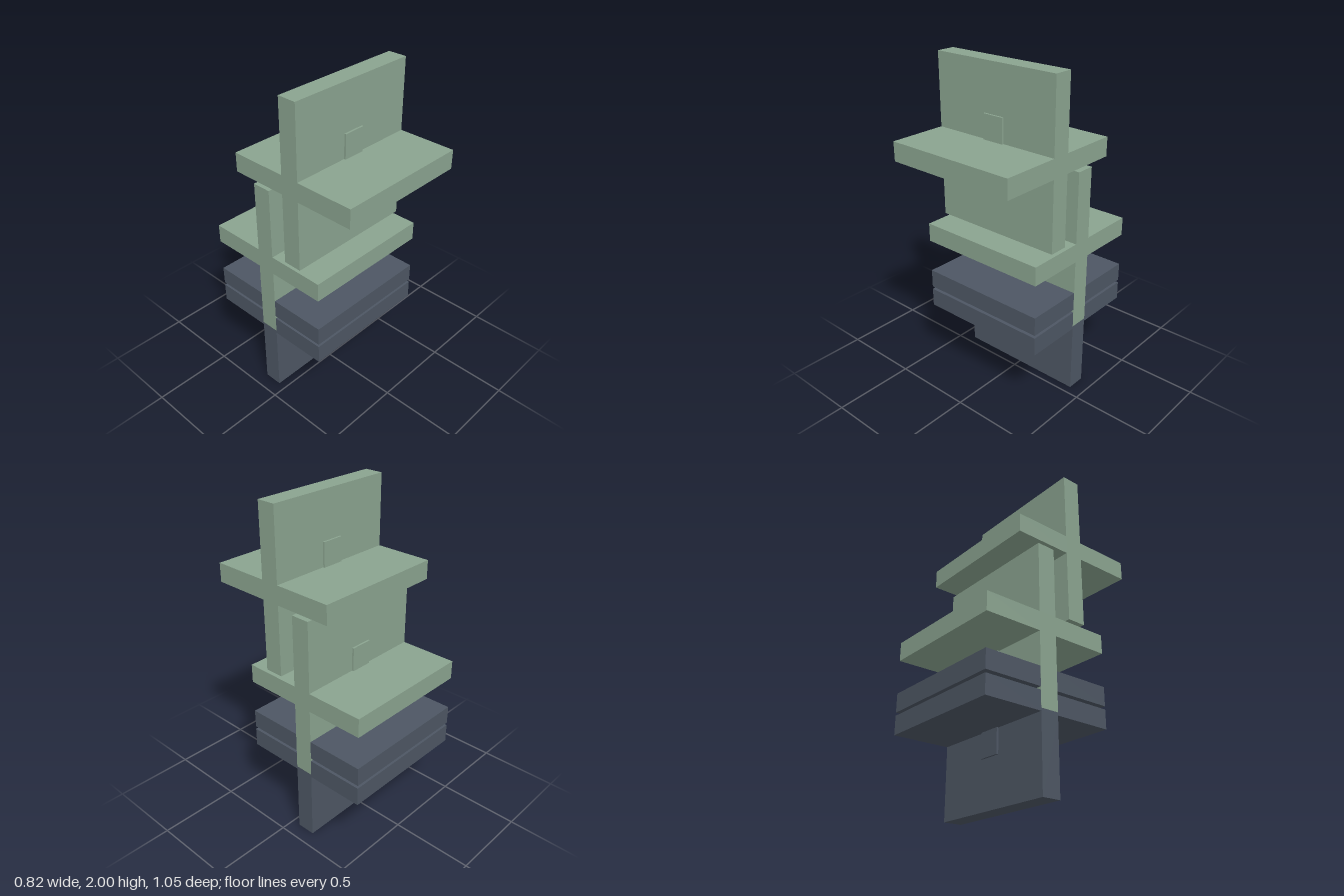
import * as THREE from 'three';

const WIDTH = 0.825, HEIGHT = 0.98, DEPTH = 0.828, THICK = 0.115;

// Plus-shaped outline (u = depth, v = height), extruded across the width
function crossGeometry(inset) {
  const t = THICK / 2 - inset, d = DEPTH / 2, h = HEIGHT / 2, w = WIDTH - 2 * inset;
  const shape = new THREE.Shape([
    [-t, -h], [t, -h], [t, -t], [d, -t], [d, t], [t, t],
    [t, h], [-t, h], [-t, t], [-d, t], [-d, -t], [-t, -t],
  ].map(([u, v]) => new THREE.Vector2(u, v)));
  return new THREE.ExtrudeGeometry(shape, { depth: w, bevelEnabled: false })
    .translate(0, 0, -w / 2)
    .rotateY(Math.PI / 2);
}

// One crossed-slab unit with a small raised plate on both faces of its upright
function crossUnit(name, y, z, color, inset) {
  const material = new THREE.MeshStandardMaterial({ color, flatShading: true });
  const unit = new THREE.Group();
  unit.name = name;
  const slabs = new THREE.Mesh(crossGeometry(inset), material);
  slabs.name = name + 'Slabs';
  const plate = new THREE.Mesh(
    new THREE.BoxGeometry(0.135 - 2 * inset, 0.41, 0.138 - 2 * inset), material);
  plate.name = name + 'Plate';
  unit.add(slabs, plate);
  unit.position.set(0, y, z);
  return unit;
}

export function createModel() {
  const model = new THREE.Group();
  model.name = 'stackedCrosses';
  const green = 0x8aa38f, slate = 0x4d5663;
  // The slate units overlap the green one, so a hair of inset keeps the faces apart
  model.add(
    crossUnit('topCross', 1.51, 0.11, green, 0),
    crossUnit('middleCross', 0.94, -0.11, green, 0),
    crossUnit('lowerCross', 0.6225, -0.11, slate, 0.0006),
    crossUnit('bottomCross', 0.49, -0.11, slate, 0.0003),
  );
  return model;
}
